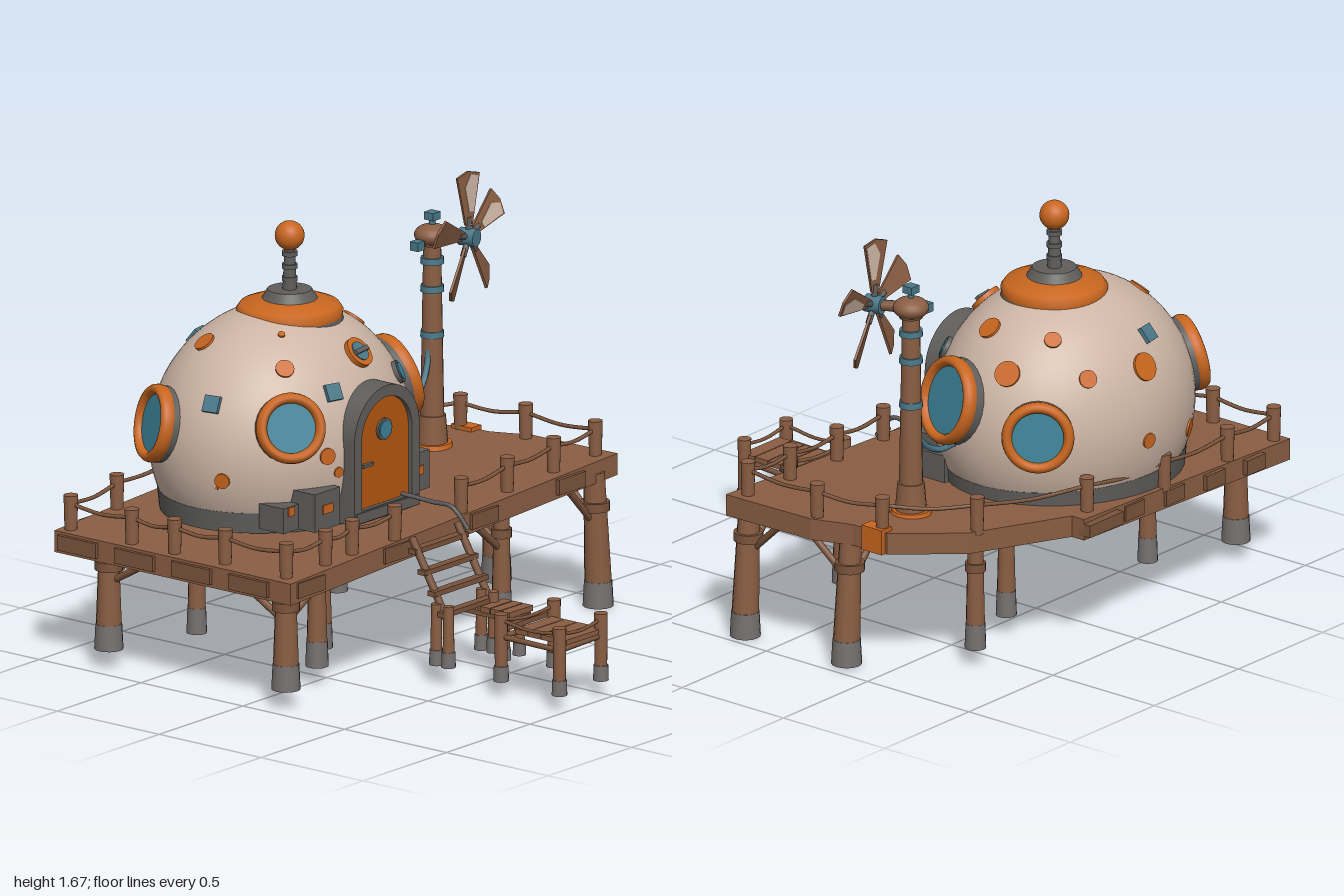
import * as THREE from 'three';

const paint = (name, color) => {
  const m = new THREE.MeshStandardMaterial({ color });
  m.name = name;
  return m;
};
const V = (x, y, z) => new THREE.Vector3(x, y, z);

export function createModel() {
  const wood = paint('wood', 0x8a5e43), plank = paint('weathered wood', 0x7b543c);
  const cream = paint('cream shell', 0xcdb5a5), orange = paint('orange trim', 0xc8661f);
  const door = paint('door orange', 0xb3560f), glass = paint('blue glass', 0x3c8298);
  const teal = paint('blue metal', 0x4a7888), metal = paint('grey metal', 0x5f5e5c);
  const foot = paint('grey footing', 0x757170);
  const model = new THREE.Group();
  model.name = 'domeHouse';

  const add = (parent, geo, mat, name, x = 0, y = 0, z = 0) => {
    const m = new THREE.Mesh(geo, mat);
    m.name = name;
    m.position.set(x, y, z);
    parent.add(m);
    return m;
  };
  const box = (parent, w, h, d, mat, name, x, y, z) => add(parent, new THREE.BoxGeometry(w, h, d), mat, name, x, y, z);
  const cyl = (parent, r1, r2, h, mat, name, x, y, z, sides = 16) =>
    add(parent, new THREE.CylinderGeometry(r1, r2, h, sides), mat, name, x, y, z);
  // Round bar from a to b
  const rod = (a, b, r1, r2, mat, name) => {
    const d = b.clone().sub(a);
    const m = add(model, new THREE.CylinderGeometry(r2, r1, d.length(), 12), mat, name);
    m.position.copy(a).addScaledVector(d, 0.5);
    m.quaternion.setFromUnitVectors(V(0, 1, 0), d.normalize());
    return m;
  };
  const tube = (pts, r, mat, name) =>
    add(model, new THREE.TubeGeometry(new THREE.CatmullRomCurve3(pts), 20, r, 8), mat, name);

  // Sloping deck: its right side sits a little higher
  const deckY = x => 0.55 + 0.038 * x;
  const outline = [[-0.97, 0.21], [1, 0.2], [0.99, -0.21], [0.93, -0.37], [0.92, -0.53], [0.7, -0.75],
    [0.28, -0.91], [0.28, -0.97], [-0.97, -0.95]];
  const shape = new THREE.Shape(outline.map(([x, z]) => new THREE.Vector2(x, -z)));
  const deckGeo = new THREE.ExtrudeGeometry(shape, { depth: 0.085, bevelEnabled: false }).rotateX(-Math.PI / 2);
  const dp = deckGeo.attributes.position;
  for (let i = 0; i < dp.count; i++) dp.setY(i, dp.getY(i) + deckY(dp.getX(i)) - 0.085);
  deckGeo.computeVertexNormals();
  add(model, deckGeo, wood, 'deck');
  // Uneven plank ends along the deck edges
  for (let i = 0; i < 4; i++) {
    box(model, 0.04, 0.06, 0.19, plank, 'plankEnd', -0.965, deckY(-1) - 0.04, -0.83 + i * 0.28);
    const x = -0.74 + i * 0.24;
    box(model, 0.11, 0.06, 0.04, plank, 'plankEnd', x, deckY(x) - 0.04, -0.955);
    const xf = -0.85 + i * 0.52;
    box(model, 0.16, 0.06, 0.03, plank, 'plankEnd', xf, deckY(xf) - 0.04, 0.202);
  }
  box(model, 0.2, 0.05, 0.06, plank, 'plankEnd', 0.18, deckY(0.18) - 0.04, -0.97);

  // Stilts with footings and collars; braces on the outer ones
  const stilts = [[-0.9, 0.13, 0.07, 0.05], [0.39, 0.13, 0.07, 0.037], [0.92, 0.17, 0, 0.053], [-0.4, -0.1, 0.08, 0.035],
    [0.92, -0.33, 0.01, 0.053], [0.6, -0.7, 0.07, 0.037], [-0.52, -0.62, 0.07, 0.035], [-0.9, -0.74, 0.07, 0.05],
    [0.26, -0.57, 0.07, 0.036], [-0.58, 0.02, 0.07, 0.04]];
  for (const [x, z, y, r] of stilts) {
    const top = deckY(x) - 0.05;
    const lean = x > 0.9 ? -0.025 : 0;
    cyl(model, r * 1.02, r * 1.12, 0.1, foot, 'footing', x, y + 0.05, z);
    rod(V(x, y + 0.09, z), V(x + lean, top, z), r, r * 0.78, wood, 'stilt');
    cyl(model, r * 1.08, r * 1.08, 0.035, plank, 'stiltCollar', x + lean * 0.75, 0.4, z);
    if (z < 0.1 && Math.abs(x) < 0.85) continue;
    const s = x > 0 ? -1 : 1, t = z > -0.4 && z < 0 ? 1 : z > 0 ? -1 : 1;
    rod(V(x + lean, 0.33, z), V(x + s * 0.2, deckY(x) - 0.07, z), 0.014, 0.014, plank, 'brace');
    rod(V(x + lean, 0.33, z), V(x, deckY(x) - 0.07, z + t * 0.2), 0.014, 0.014, plank, 'brace');
  }

  // Fence posts and sagging ropes, leaving a gap for the ladder
  const fence = [[-0.31, 0.18], [-0.54, 0.16], [-0.7, 0.16], [-0.91, 0.14], [-0.91, -0.16], [-0.92, -0.4],
    [-0.92, -0.61], [-0.92, -0.91], [-0.62, -0.93], [-0.22, -0.95], [0.19, -0.91], [0.65, -0.75], [0.9, -0.49],
    [0.95, -0.21], [0.94, 0.14], [0.69, 0.14], [0.4, 0.15], [0.1, 0.17]];
  fence.forEach(([x, z], i) => {
    const y = deckY(x);
    cyl(model, 0.028, 0.024, 0.15, wood, 'fencePost', x, y + 0.06, z);
    if (i === fence.length - 1) return;
    const [u, w] = fence[i + 1];
    tube([V(x, y + 0.1, z), V((x + u) / 2, (y + deckY(u)) / 2 + 0.085, (z + w) / 2), V(u, deckY(u) + 0.1, w)], 0.008, plank, 'fenceRope');
  });

  // Dome shell and base ring
  const C = V(-0.15, 0.8, -0.515), R = V(0.55, 0.51, 0.462);
  const shell = add(model, new THREE.SphereGeometry(1, 64, 40, 0, Math.PI * 2, 0, 2.02), cream, 'domeShell', C.x, C.y, C.z);
  shell.scale.copy(R);
  cyl(model, 0.935, 0.92, 0.08, metal, 'domeBase', C.x, 0.575, C.z, 48).scale.set(R.x, 1, R.z);

  // Group on the dome surface whose +z points outward, raised by lift
  const onDome = (x, y, z, name, lift = 0) => {
    const d = V(x, y, z).sub(C).divide(R).normalize();
    const g = new THREE.Group();
    g.name = name;
    g.position.copy(d).multiply(R).add(C);
    const n = d.divide(R).normalize();
    g.lookAt(g.position.clone().add(n));
    g.position.addScaledVector(n, lift);
    model.add(g);
    return g;
  };
  const disc = (g, r, h, mat, name, z) =>
    add(g, new THREE.CylinderGeometry(r, r, h, 28).rotateX(Math.PI / 2), mat, name, 0, 0, z);
  const topY = (x, z) => C.y + R.y * Math.sqrt(Math.max(0, 1 - ((x - C.x) / R.x) ** 2 - ((z - C.z) / R.z) ** 2));

  // Large round windows
  for (const [x, y, z, r] of [[-0.54, 0.97, -0.14, 0.135], [0.34, 0.92, -0.39, 0.17], [0.26, 0.85, -0.74, 0.138], [-0.62, 0.9, -0.71, 0.15]]) {
    const g = onDome(x, y, z, 'window', 0.015);
    disc(g, r * 0.98, 0.07, metal, 'windowBacking', -0.045);
    disc(g, r * 0.85, 0.014, glass, 'windowGlass', 0);
    add(g, new THREE.TorusGeometry(r - 0.02, 0.021, 12, 40), orange, 'windowRing').scale.z = 1.5;
  }
  // Orange spots seen from above, then lower on the walls
  for (const [x, z, r] of [[-0.46, -0.63, 0.042], [-0.14, -0.92, 0.055], [0.14, -0.7, 0.033], [0.2, -0.44, 0.045],
    [-0.42, -0.27, 0.036], [-0.33, -0.36, 0.014]])
    disc(onDome(x, topY(x, z), z, 'spot'), r, 0.014, orange, 'orangeSpot', 0);
  for (const [x, y, z, r] of [[0.3, 1.07, -0.61, 0.05], [-0.38, 0.83, -0.09, 0.032], [-0.33, 0.76, -0.08, 0.02],
    [0.17, 0.9, -0.14, 0.022], [0.1, 0.82, -0.09, 0.018], [-0.1, 0.77, -0.98, 0.03], [-0.4, 0.72, -0.9, 0.035],
    [0.12, 1.06, -0.86, 0.035], [-0.64, 0.75, -0.38, 0.03]])
    disc(onDome(x, y, z, 'spot'), r, 0.012, orange, 'orangeSpot', 0);
  // Small vents and lamps
  const vent = onDome(-0.08, 1.175, -0.17, 'frontVent');
  disc(vent, 0.062, 0.03, orange, 'ventRim', 0);
  disc(vent, 0.04, 0.034, teal, 'ventGlass', 0.002);
  box(vent, 0.085, 0.018, 0.02, metal, 'ventBar', 0, 0, 0.02);
  for (const [x, y, z] of [[-0.3, 1.06, -0.13], [-0.23, 1.13, -0.85], [-0.62, 1.02, -0.45]])
    box(onDome(x, y, z, 'panel'), 0.065, 0.065, 0.02, teal, 'bluePanel', 0, 0, 0.005);
  const porthole = onDome(0.17, 1.04, -0.17, 'porthole');
  disc(porthole, 0.045, 0.03, metal, 'portholeRim', 0);
  disc(porthole, 0.034, 0.036, glass, 'portholeGlass', 0.001);

  // Roof collar and antenna
  const collar = [[0.2, 1.25], [0.205, 1.28], [0.19, 1.302], [0.13, 1.325], [0.1, 1.325]].map(p => new THREE.Vector2(...p));
  add(model, new THREE.LatheGeometry(collar, 40), orange, 'roofCollar', -0.11, 0, -0.5);
  cyl(model, 0.2, 0.205, 0.02, metal, 'collarSeal', -0.11, 1.255, -0.5, 40);
  cyl(model, 0.085, 0.115, 0.05, metal, 'antennaBase', -0.11, 1.335, -0.5, 32);
  cyl(model, 0.02, 0.028, 0.17, metal, 'antennaStem', -0.11, 1.435, -0.5);
  for (const y of [1.4, 1.45, 1.5]) cyl(model, 0.03, 0.03, 0.018, metal, 'antennaRing', -0.11, y, -0.5);
  add(model, new THREE.SphereGeometry(0.057, 24, 16), orange, 'antennaBall', -0.11, 1.57, -0.5);

  // Arched doorway standing just proud of the shell
  const arch = (hw, y0, y1, T = THREE.Shape) => {
    const s = new T();
    s.moveTo(-hw, y0);
    s.lineTo(hw, y0);
    s.lineTo(hw, y1 - hw);
    s.absarc(0, y1 - hw, hw, 0, Math.PI, false);
    s.lineTo(-hw, y0);
    return s;
  };
  const frame = arch(0.195, 0.55, 1.065);
  frame.holes.push(arch(0.15, 0.6, 1.02, THREE.Path));
  const opt = depth => ({ depth, bevelEnabled: false, curveSegments: 20 });
  add(model, new THREE.ExtrudeGeometry(frame, opt(0.15)), metal, 'doorFrame', -0.11, 0, -0.172);
  add(model, new THREE.ExtrudeGeometry(arch(0.153, 0.59, 1.02), opt(0.13)), door, 'door', -0.11, 0, -0.17);
  const pane = new THREE.Group();
  pane.name = 'doorPorthole';
  pane.position.set(-0.11, 0.89, -0.038);
  model.add(pane);
  disc(pane, 0.043, 0.014, metal, 'doorPortholeRim', 0);
  disc(pane, 0.033, 0.018, glass, 'doorPortholeGlass', 0.001);
  box(model, 0.06, 0.012, 0.02, metal, 'doorHandle', -0.215, 0.77, -0.035);
  box(model, 0.37, 0.04, 0.08, metal, 'doorStep', -0.11, 0.575, -0.055);

  // Equipment boxes beside the door
  for (const [x, z, w, h] of [[-0.42, -0.12, 0.15, 0.15], [-0.54, -0.2, 0.09, 0.1], [0.2, -0.18, 0.13, 0.15], [0.28, -0.26, 0.09, 0.11]]) {
    box(model, w, h, 0.12, metal, 'equipmentBox', x, 0.56 + h / 2, z);
    box(model, w * 0.4, 0.035, 0.02, orange, 'boxPanel', x, 0.64, z + 0.055);
  }
  add(onDome(0.18, 0.77, -0.13, 'sign'), new THREE.CylinderGeometry(0.035, 0.035, 0.016, 3).rotateX(Math.PI / 2).rotateZ(Math.PI), orange, 'warningTriangle');
  box(model, 0.05, 0.06, 0.06, orange, 'sideBox', -0.65, 0.74, -0.42);

  // Ladder from the deck to the landing
  for (const x of [-0.28, -0.01]) {
    rod(V(x, 0.55, 0.24), V(x + 0.02, 0.24, 0.4), 0.015, 0.015, plank, 'ladderRail');
    for (const z of [0.36, 0.42]) {
      cyl(model, 0.02, 0.023, 0.22, wood, 'ladderLeg', x, 0.2, z);
      cyl(model, 0.026, 0.028, 0.06, foot, 'ladderFooting', x, 0.1, z);
    }
  }
  for (let i = 0; i < 4; i++) box(model, 0.32, 0.02, 0.036, plank, 'rung', -0.14, 0.5 - i * 0.075, 0.255 + i * 0.048);
  for (let i = 0; i < 3; i++) box(model, 0.14, 0.022, 0.045, wood, 'landingPlank', -0.03, 0.26, 0.45 + i * 0.05);
  for (const x of [-0.08, 0.01]) {
    box(model, 0.02, 0.02, 0.26, plank, 'landingBeam', x, 0.24, 0.45);
    cyl(model, 0.02, 0.022, 0.14, wood, 'landingLeg', x, 0.18, 0.53);
    cyl(model, 0.024, 0.026, 0.05, foot, 'landingFooting', x, 0.1, 0.53);
  }
  tube([V(0, 0.61, -0.06), V(0.01, 0.6, 0.1), V(0, 0.6, 0.21), V(0.02, 0.52, 0.27)], 0.009, metal, 'handrailCable');

  // Small separate jetty
  const corners = [[-0.27, 0.67], [0.01, 0.7], [-0.02, 0.955], [-0.28, 0.965]];
  corners.forEach(([x, z], i) => {
    cyl(model, 0.026, 0.024, 0.21, wood, 'jettyPost', x, 0.22, z);
    cyl(model, 0.028, 0.03, 0.06, foot, 'jettyFooting', x, 0.09, z);
    const [u, w] = corners[(i + 1) % 4];
    rod(V(x, 0.235, z), V(u, 0.235, w), 0.011, 0.011, plank, 'jettyBeam');
    if (i !== 1) tube([V(x, 0.3, z), V((x + u) / 2, 0.285, (z + w) / 2), V(u, 0.3, w)], 0.007, plank, 'jettyRope');
  });
  for (let i = 0; i < 4; i++) box(model, 0.22, 0.02, 0.06, wood, 'jettyPlank', -0.125, 0.255, 0.74 + i * 0.064);
  box(model, 0.29, 0.02, 0.025, plank, 'jettyEdge', -0.11, 0.255, 0.65);

  // Windmill mast
  const px = 0.67, pz = -0.44;
  cyl(model, 0.075, 0.08, 0.02, orange, 'mastPlate', px, 0.582, pz);
  cyl(model, 0.052, 0.062, 0.12, wood, 'mastBase', px, 0.64, pz);
  cyl(model, 0.034, 0.048, 0.8, wood, 'mast', px, 0.98, pz);
  for (const y of [1.02, 1.2, 1.31]) cyl(model, 0.044, 0.046, 0.025, teal, 'mastBand', px, y, pz);
  cyl(model, 0.06, 0.045, 0.04, wood, 'turbineHousing', px, 1.39, pz);
  add(model, new THREE.SphereGeometry(0.07, 20, 12), wood, 'turbineBody', px, 1.41, pz).scale.y = 0.6;
  rod(V(px, 1.41, pz), V(0.728, 1.41, -0.33), 0.025, 0.02, plank, 'turbineShaft');
  cyl(model, 0.012, 0.012, 0.05, teal, 'turbineVane', px, 1.465, pz);
  box(model, 0.045, 0.03, 0.045, teal, 'turbineCap', px, 1.485, pz);
  rod(V(px, 1.39, pz), V(0.58, 1.385, pz), 0.01, 0.01, teal, 'sensorArm');
  box(model, 0.04, 0.035, 0.04, teal, 'sensor', 0.58, 1.385, pz);
  tube([V(0.36, 0.77, -0.42), V(0.48, 0.77, -0.42), V(0.58, 0.83, -0.42), V(0.63, 0.92, -0.43), V(0.65, 1.03, -0.44)], 0.012, teal, 'powerCable');
  box(model, 0.06, 0.1, 0.1, orange, 'edgeBox', 0.91, 0.55, -0.47);

  // Rotor with five flared blades, two with cream patches
  const rotor = new THREE.Group();
  rotor.name = 'rotor';
  rotor.position.set(0.73, 1.41, -0.31);
  rotor.rotation.y = 0.2;
  model.add(rotor);
  disc(rotor, 0.035, 0.07, teal, 'rotorHub', 0);
  const flare = pts => new THREE.Shape(pts.map(p => new THREE.Vector2(...p)));
  const bladeShape = flare([[-0.018, 0.05], [0.018, 0.05], [0.058, 0.245], [0, 0.262], [-0.058, 0.245]]);
  const patchShape = flare([[0, 0.1], [0.024, 0.1], [0.05, 0.236], [0.01, 0.25], [-0.02, 0.2]]);
  for (let i = 0; i < 5; i++) {
    const arm = new THREE.Group();
    arm.name = 'blade';
    arm.rotation.z = 0.03 + (i * Math.PI * 2) / 5;
    rotor.add(arm);
    const sail = new THREE.Group();
    sail.name = 'bladeSail';
    sail.rotation.y = -0.33;
    arm.add(sail);
    add(sail, new THREE.ExtrudeGeometry(bladeShape, opt(0.01)), wood, 'bladePanel', 0, 0, -0.005);
    cyl(arm, 0.012, 0.012, 0.07, metal, 'bladeRoot', 0, 0.045, 0);
    if (i === 0 || i === 4) add(sail, new THREE.ExtrudeGeometry(patchShape, opt(0.014)), cream, 'bladePatch', 0, 0, -0.007);
  }
  return model;
}
